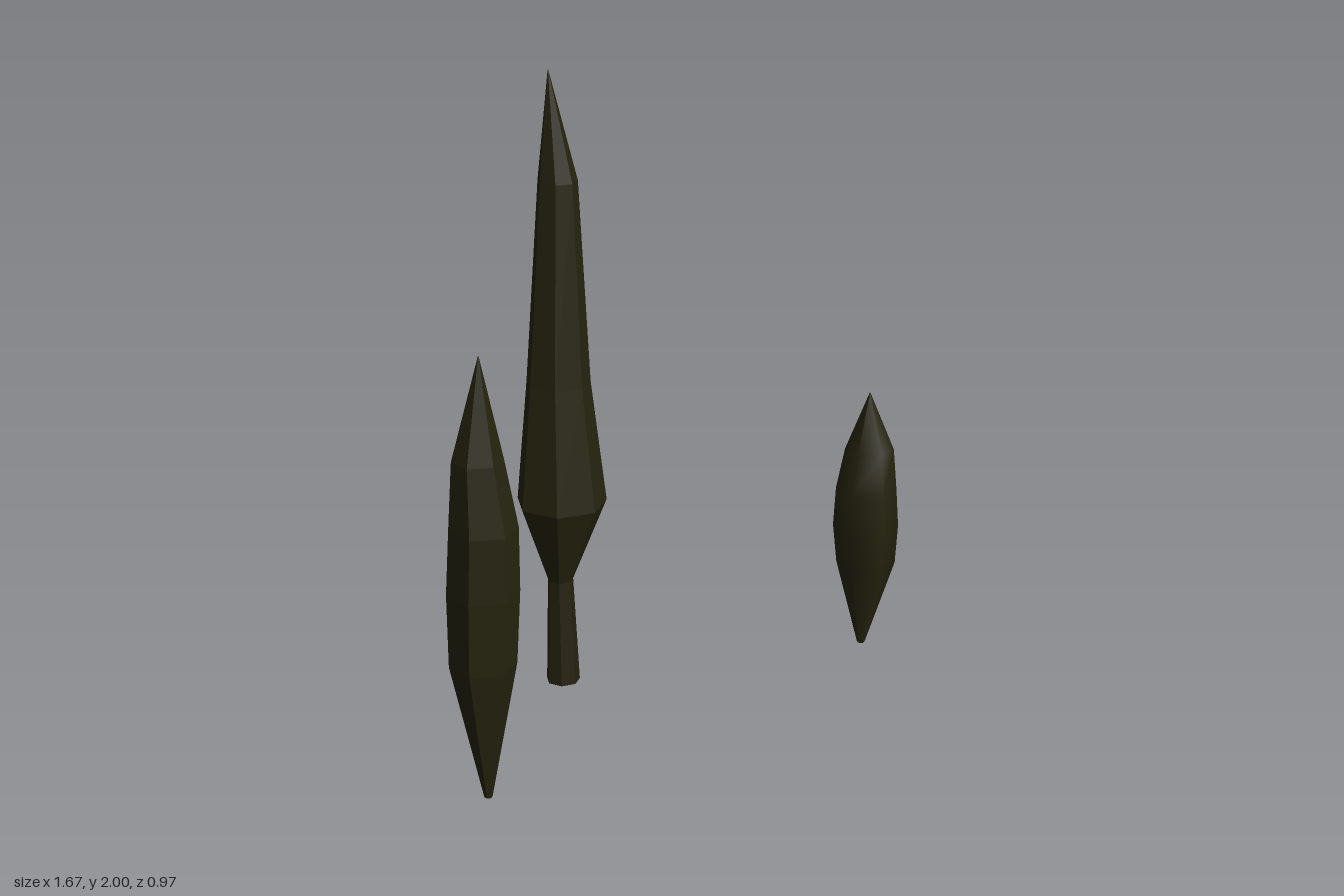
import * as THREE from 'three';

// Closed loft through regular rings [y, centreX, centreZ, radius]
function loft(rings, sides, phaseDegrees) {
  const pos = [], idx = [];
  const phase = THREE.MathUtils.degToRad(phaseDegrees);
  for (const [y, cx, cz, r] of rings) {
    for (let i = 0; i < sides; i++) {
      const a = phase + (i / sides) * Math.PI * 2;
      pos.push(cx + r * Math.cos(a), y, cz + r * Math.sin(a));
    }
  }
  const last = (rings.length - 1) * sides;
  for (let k = 0; k < last; k += sides) {
    for (let i = 0; i < sides; i++) {
      const j = (i + 1) % sides;
      const a = k + i, b = k + j, c = a + sides, d = b + sides;
      idx.push(a, c, b, b, c, d);
    }
  }
  // End caps
  for (let i = 1; i < sides - 1; i++) {
    idx.push(0, i, i + 1, last, last + i + 1, last + i);
  }
  const geometry = new THREE.BufferGeometry();
  geometry.setAttribute('position', new THREE.Float32BufferAttribute(pos, 3));
  geometry.setIndex(idx);
  geometry.computeVertexNormals();
  return geometry;
}

export function createModel() {
  const group = new THREE.Group();
  const foliage = new THREE.MeshStandardMaterial({ color: 0x26240f, flatShading: true });
  foliage.name = 'dark olive foliage';
  const softFoliage = new THREE.MeshStandardMaterial({ color: 0x26240f });
  softFoliage.name = 'smooth dark olive foliage';
  const bark = new THREE.MeshStandardMaterial({ color: 0x272210, flatShading: true });
  bark.name = 'dark bark';

  const add = (name, material, sides, phase, rings) => {
    const mesh = new THREE.Mesh(loft(rings, sides, phase), material);
    mesh.name = name;
    group.add(mesh);
  };

  // Tall tree: tapering trunk under a slender spire
  add('tallTreeTrunk', bark, 7, 94, [
    [0, 0.09, -0.345, 0.055],
    [0.4, 0.086, -0.35, 0.04],
  ]);
  add('tallTreeCrown', foliage, 7, 94, [
    [0.35, 0.086, -0.35, 0.04],
    [0.62, 0.091, -0.346, 0.146],
    [1.02, 0.086, -0.35, 0.103],
    [1.66, 0.091, -0.348, 0.063],
    [2, 0.07, -0.362, 0.001],
  ]);

  // Medium crown: narrow spindle
  add('mediumTreeCrown', foliage, 6, -18, [
    [0.06, -0.735, 0.055, 0.012],
    [0.48, -0.742, 0.053, 0.097],
    [0.7, -0.737, 0.055, 0.104],
    [0.89, -0.733, 0.058, 0.098],
    [1.09, -0.739, 0.047, 0.073],
    [1.39, -0.735, 0.055, 0.001],
  ]);

  // Small crown: softly shaded spindle
  add('smallTreeCrown', softFoliage, 6, -4, [
    [0.11, 0.727, 0.392, 0.012],
    [0.39, 0.738, 0.392, 0.094],
    [0.52, 0.73, 0.392, 0.104],
    [0.65, 0.721, 0.395, 0.096],
    [0.78, 0.732, 0.395, 0.077],
    [0.97, 0.725, 0.394, 0.001],
  ]);
  return group;
}
